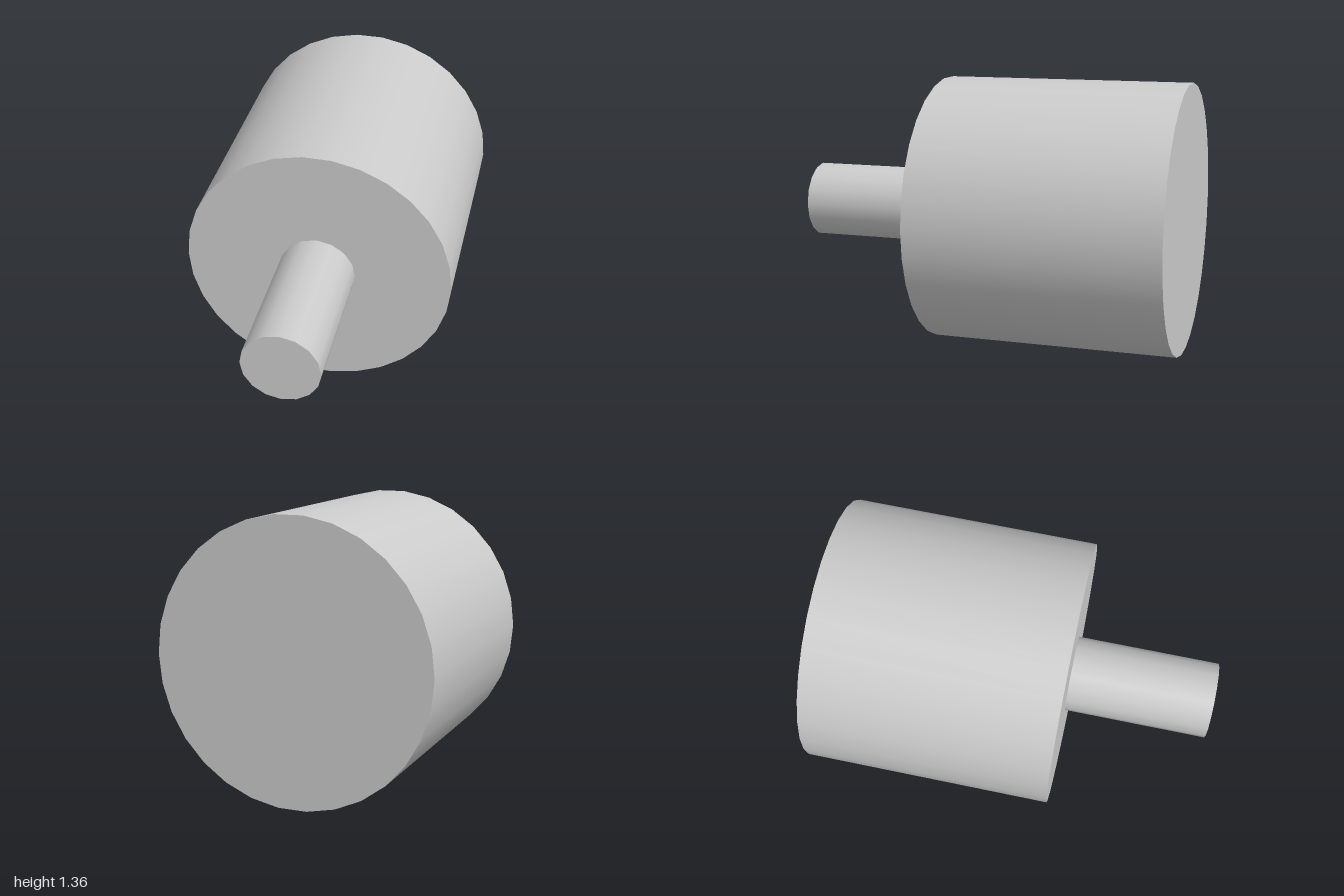
import * as THREE from 'three';

const AXIS_Y = 0.68;

export function createModel() {
  const group = new THREE.Group();
  const material = new THREE.MeshStandardMaterial({ color: 0xcccccc });

  // Capped cylinder lying along z between two depths
  function barrel(name, radius, sides, back, front, start = 0) {
    const geometry = new THREE.CylinderGeometry(radius, radius, front - back, sides, 1, false, start);
    geometry.rotateX(Math.PI / 2);
    const mesh = new THREE.Mesh(geometry, material);
    mesh.name = name;
    mesh.position.set(0, AXIS_Y, (back + front) / 2);
    group.add(mesh);
  }

  // Wide body, turned half a side so it rests on a flat
  barrel('body', 0.68 / Math.cos(Math.PI / 30), 30, -1, 0.265, Math.PI / 30);
  // Narrow shaft out of the front face
  barrel('shaft', 0.195, 16, 0.265, 1);

  return group;
}
